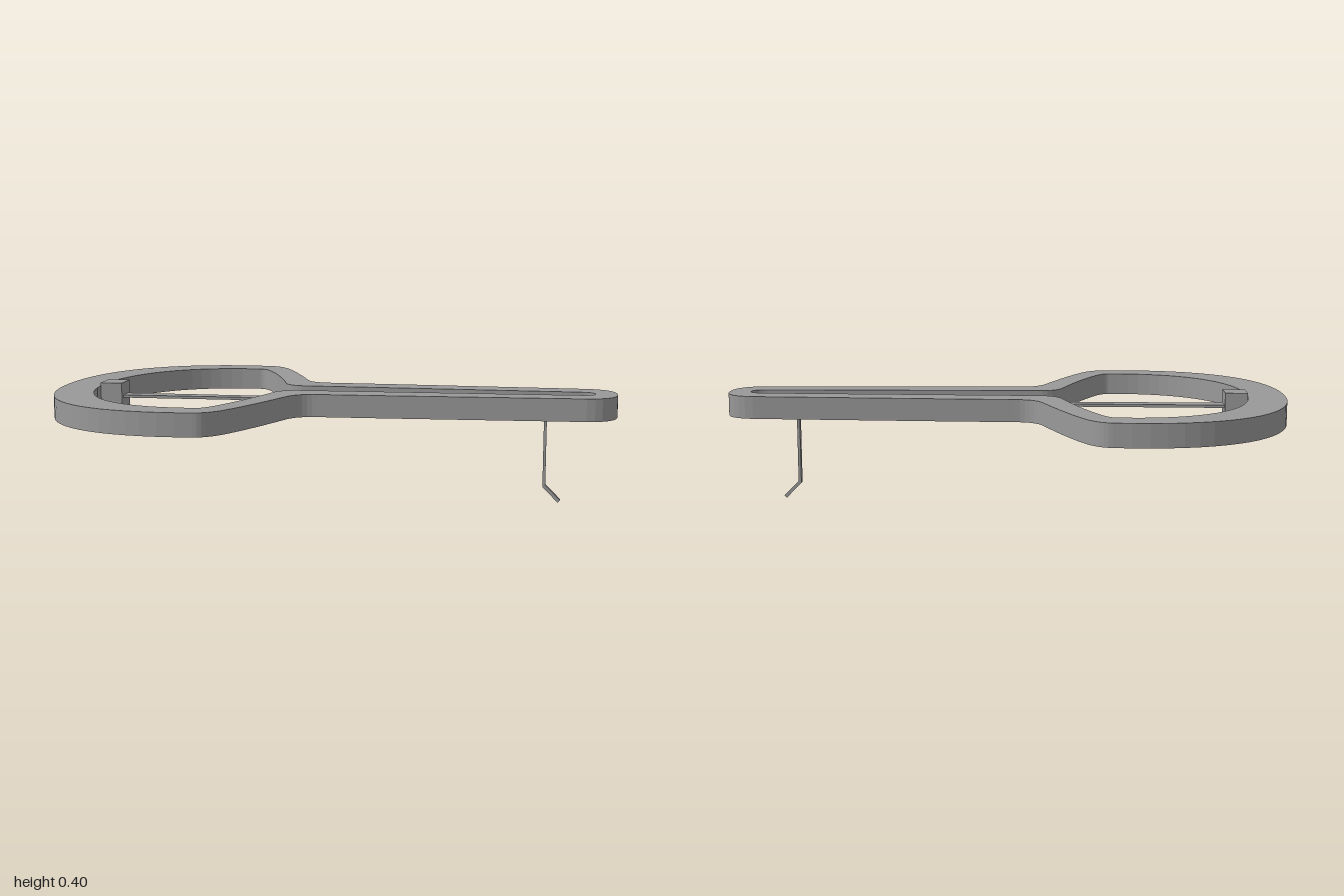
import * as THREE from 'three';

const steel = new THREE.MeshStandardMaterial({ color: 0x999999 });
steel.name = 'steel';

// Draws half an outline through a list of lines and curves, then its mirror image back to the start
function mirroredOutline(path, start, segments) {
  const pts = [start];
  for (const s of segments) {
    const from = new THREE.Vector2(...pts[pts.length - 1]);
    const p = s.map(([x, y]) => new THREE.Vector2(x, y));
    let added = p;
    if (p.length === 2) added = new THREE.QuadraticBezierCurve(from, ...p).getPoints(7).slice(1);
    if (p.length === 3) added = new THREE.CubicBezierCurve(from, ...p).getPoints(18).slice(1);
    for (const q of added) pts.push([q.x, q.y]);
  }
  // Counter-clockwise: the lower half first, then the upper half back
  const lower = pts.map(([x, y]) => [x, -y]);
  const upper = pts.slice(1, -1).reverse();
  path.setFromPoints([...lower, ...upper].map(([x, y]) => new THREE.Vector2(x, y)));
  path.closePath();
  return path;
}

function add(group, name, geometry) {
  const mesh = new THREE.Mesh(geometry, steel);
  mesh.name = name;
  group.add(mesh);
  return mesh;
}

// Extrudes a plan shape upward from height y
function slab(shape, y, height) {
  return new THREE.ExtrudeGeometry(shape, { depth: height, bevelEnabled: false })
    .rotateX(-Math.PI / 2).translate(0, y, 0);
}

export function createModel() {
  const group = new THREE.Group();
  group.name = 'mouthHarp';

  // Frame: rounded bow running into two slightly tapering arms
  const outer = mirroredOutline(new THREE.Shape(), [-1, 0], [
    [[-1, 0.42], [-0.79, 0.66], [-0.43, 0.648]],
    [[-0.37, 0.643]],
    [[-0.32, 0.64], [-0.28, 0.565]],
    [[-0.22, 0.45], [-0.14, 0.225]],
    [[-0.115, 0.16], [-0.04, 0.16]],
    [[0.2, 0.155]],
    [[0.89, 0.13]],
    [[1, 0.12], [1, 0]],
  ]);
  const inner = mirroredOutline(new THREE.Path(), [-0.866, 0], [
    [[-0.866, 0.33], [-0.69, 0.545], [-0.42, 0.537]],
    [[-0.39, 0.537]],
    [[-0.365, 0.537], [-0.34, 0.49]],
    [[-0.27, 0.35], [-0.205, 0.12]],
    [[-0.185, 0.06], [-0.12, 0.06]],
    [[0.1, 0.056]],
    [[0.87, 0.04]],
    [[0.922, 0.038], [0.922, 0]],
  ]);
  outer.holes.push(inner);
  add(group, 'frame', slab(outer, 0.312, 0.08));

  // Block that holds the root of the reed
  add(group, 'reedClamp', new THREE.BoxGeometry(0.08, 0.104, 0.1)).position.set(-0.826, 0.351, 0);

  // Tapering reed
  const reed = mirroredOutline(new THREE.Shape(), [-0.8, 0], [
    [[-0.8, 0.03]], [[0.735, 0.014]], [[0.735, 0]],
  ]);
  add(group, 'reed', slab(reed, 0.347, 0.01));

  // Trigger bent down from the reed tip, with a hooked end
  const trigger = new THREE.Shape([
    [0.73, 0.357], [0.755, 0.352], [0.755, 0.062], [0.808, 0.009],
    [0.8, 0], [0.745, 0.056], [0.745, 0.347], [0.73, 0.347],
  ].map(([x, y]) => new THREE.Vector2(x, y)));
  add(group, 'trigger', new THREE.ExtrudeGeometry(trigger, { depth: 0.024, bevelEnabled: false })
    .translate(0, 0, -0.012));

  return group;
}
